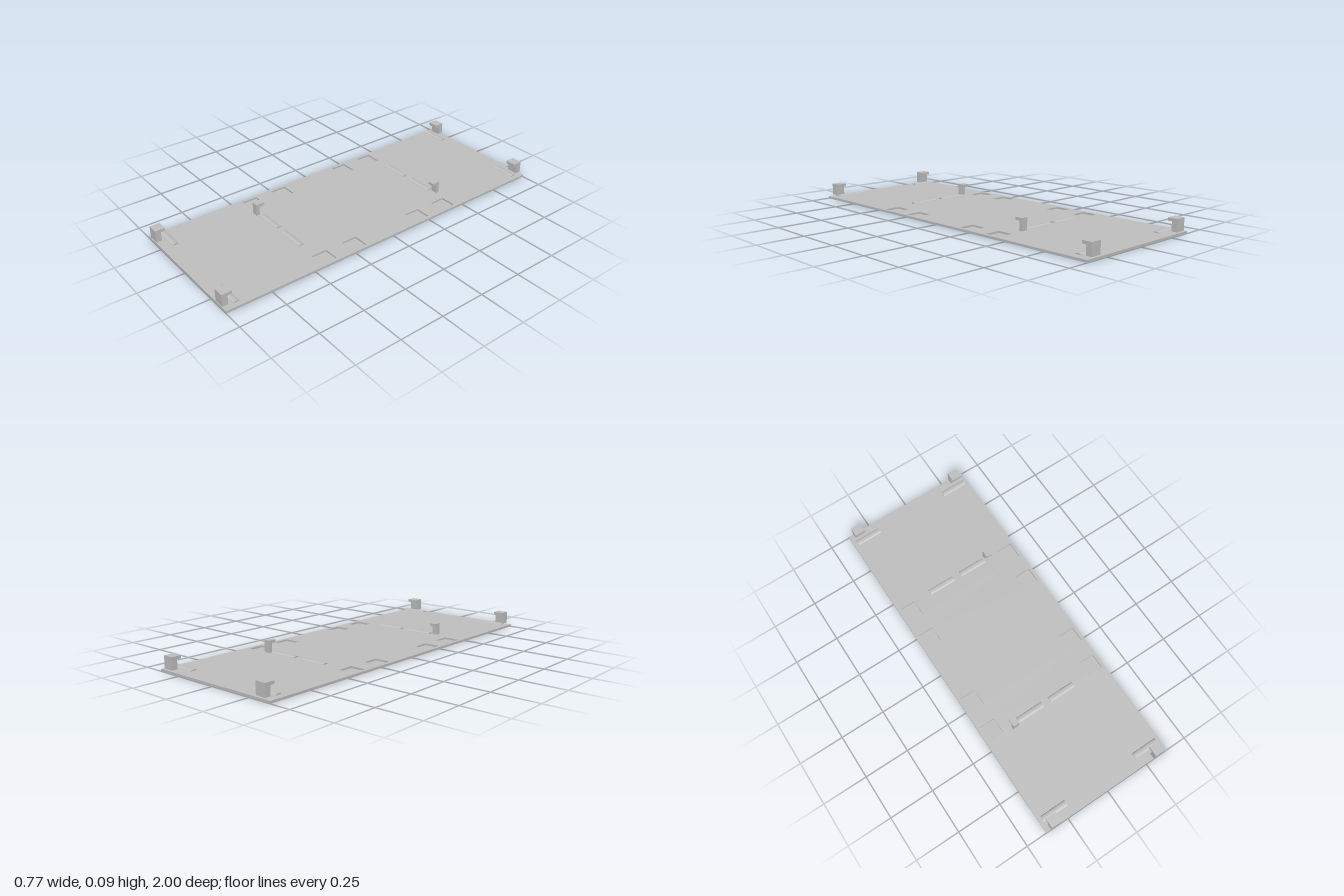
import * as THREE from 'three';

const HALF_W = 0.385, PLATE_TOP = 0.0125, FLOOR = 0.003, FIT_BASE = 0.02, FIT_TOP = 0.086;

export function createModel() {
  const grey = new THREE.MeshStandardMaterial({ color: 0xc0c0c0 });
  grey.name = 'plain grey';
  const model = new THREE.Group();
  model.name = 'clipPanel';

  const add = (parent, geometry, name) => {
    const mesh = new THREE.Mesh(geometry, grey);
    mesh.name = name;
    parent.add(mesh);
    return mesh;
  };

  // Rectangle path, given by centre and size
  const rect = (path, cx, cy, w, h) => {
    path.moveTo(cx - w / 2, cy - h / 2);
    path.lineTo(cx + w / 2, cy - h / 2);
    path.lineTo(cx + w / 2, cy + h / 2);
    path.lineTo(cx - w / 2, cy + h / 2);
    path.closePath();
    return path;
  };

  // Upper layer of the panel with eight square pockets cut through it
  const sheet = rect(new THREE.Shape(), 0, 0, HALF_W * 2, 2);
  for (const x of [-0.323, 0.323])
    for (const z of [-0.404, -0.215, 0.215, 0.404])
      sheet.holes.push(rect(new THREE.Path(), x, z, 0.088, 0.088));
  const sheetGeo = new THREE.ExtrudeGeometry(sheet, { depth: PLATE_TOP - FLOOR, bevelEnabled: false });
  sheetGeo.rotateX(-Math.PI / 2).translate(0, FLOOR, 0);
  add(model, sheetGeo, 'panelWithPockets');

  // Thin bottom layer that closes the pockets
  const base = new THREE.BoxGeometry(HALF_W * 2, FLOOR, 2);
  add(model, base.translate(0, FLOOR / 2, 0), 'panelBase');

  // Extrude a side profile of [z, y] points across x
  const acrossX = (points, x0, x1) => {
    const shape = new THREE.Shape(points.map(([z, y]) => new THREE.Vector2(-z, y)));
    const geo = new THREE.ExtrudeGeometry(shape, { depth: x1 - x0, bevelEnabled: false });
    return geo.rotateY(Math.PI / 2).translate(x0, 0, 0);
  };

  // Upright hook: stem on the outer side, lip pointing to the middle
  const hook = (x0, x1, outer, stem, reach) => acrossX([
    [outer, FIT_BASE], [outer, FIT_TOP], [outer - reach, FIT_TOP],
    [outer - reach, 0.07], [outer - stem, 0.07], [outer - stem, FIT_BASE],
  ], x0, x1);

  // Low rounded rib
  const rib = (x0, x1, z) => {
    const points = [];
    for (let i = 0; i <= 8; i++) {
      const a = Math.PI * i / 8;
      points.push([z + 0.0175 * Math.cos(a), FIT_BASE + 0.007 * Math.sin(a)]);
    }
    return acrossX(points, x0, x1);
  };

  // Each end carries the same fittings, turned half way round
  for (const end of ['front', 'back']) {
    const group = new THREE.Group();
    group.name = end + 'Fittings';
    if (end === 'back') group.rotation.y = Math.PI;
    for (const [x0, x1] of [[-0.355, -0.295], [0.295, 0.355]])
      add(group, hook(x0, x1, 1, 0.031, 0.055), 'cornerHook');
    for (const [x0, x1] of [[-0.364, -0.216], [0.216, 0.364]])
      add(group, rib(x0, x1, 0.933), 'cornerRib');
    for (const [x0, x1] of [[-0.18, -0.023], [0.023, 0.18]])
      add(group, rib(x0, x1, 0.441), 'middleRib');
    add(group, hook(-0.227, -0.191, 0.467, 0.019, 0.045), 'middleHook');
    model.add(group);
  }
  return model;
}
